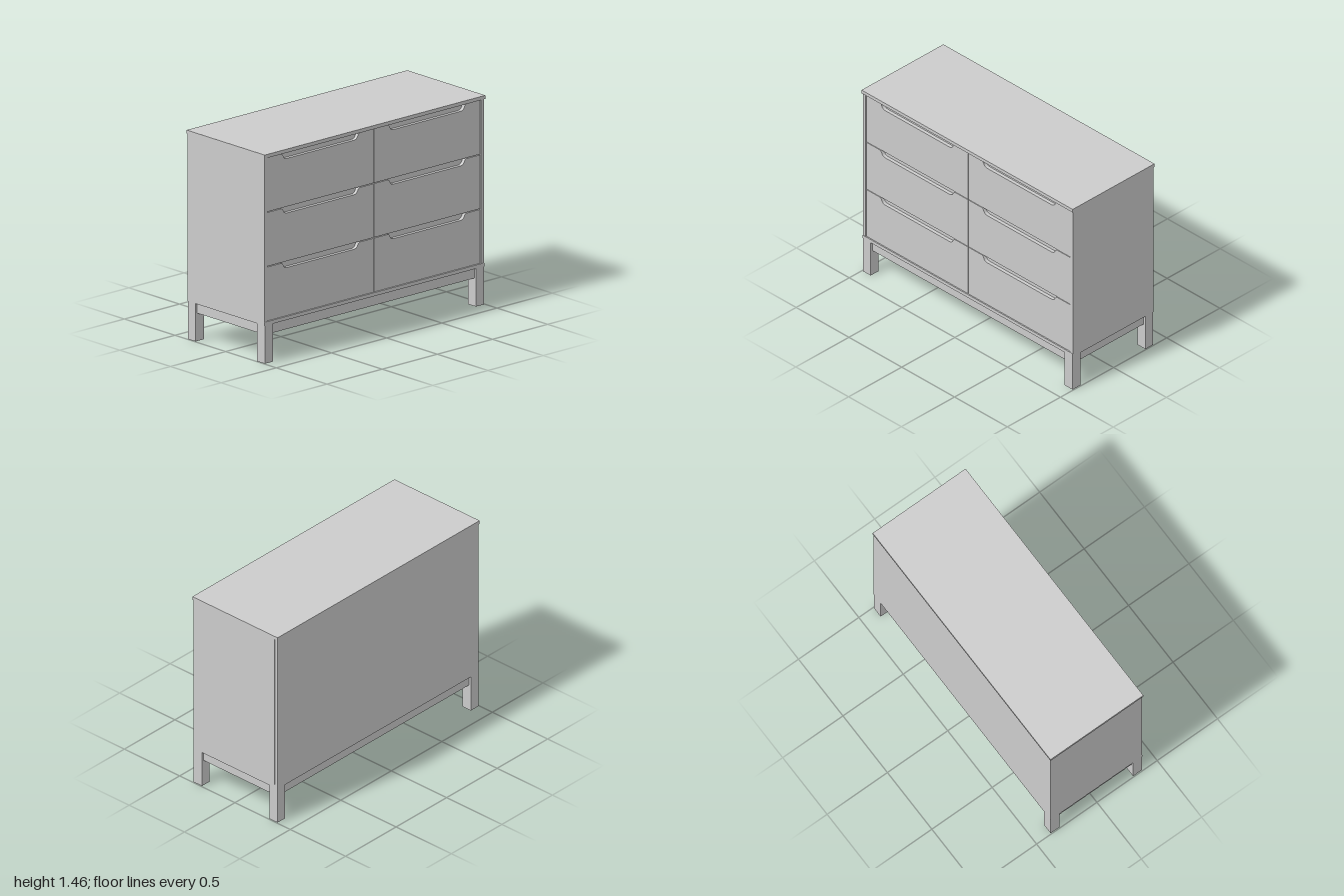
import * as THREE from 'three';

const material = new THREE.MeshStandardMaterial({ color: 0xcccccc });

// Box given by its min and max on each axis
function box(parent, name, [x0, x1], [y0, y1], [z0, z1]) {
  const mesh = new THREE.Mesh(new THREE.BoxGeometry(x1 - x0, y1 - y0, z1 - z0), material);
  mesh.position.set((x0 + x1) / 2, (y0 + y1) / 2, (z0 + z1) / 2);
  mesh.name = name;
  parent.add(mesh);
  return mesh;
}

// Drawer front centred on x = 0, base at y = 0, with a rounded finger notch in its top edge
function drawerFrontGeometry(width, height, depth) {
  const w = width / 2, n = 0.355, d = 0.04;
  const s = new THREE.Shape();
  s.moveTo(-w, 0);
  s.lineTo(w, 0);
  s.lineTo(w, height);
  s.lineTo(n, height);
  s.bezierCurveTo(n - 0.025, height - 0.005, n - 0.01, height - d, n - 0.055, height - d);
  s.lineTo(-n + 0.055, height - d);
  s.bezierCurveTo(-n + 0.01, height - d, -n + 0.025, height - 0.005, -n, height);
  s.lineTo(-w, height);
  s.closePath();
  return new THREE.ExtrudeGeometry(s, { depth, bevelEnabled: false, curveSegments: 10 });
}

export function createModel() {
  const model = new THREE.Group();
  model.name = 'chestOfDrawers';

  // Carcass
  box(model, 'top', [-1, 1], [1.435, 1.46], [-0.385, 0.385]);
  box(model, 'bottomPanel', [-0.995, 0.995], [0.265, 0.29], [-0.38, 0.38]);
  box(model, 'backPanel', [-0.995, 0.995], [0.29, 1.435], [-0.38, -0.356]);
  box(model, 'rightSide', [-0.995, -0.968], [0.29, 1.435], [-0.355, 0.378]);
  box(model, 'leftSide', [0.968, 0.995], [0.29, 1.435], [-0.355, 0.378]);

  // Six drawers in two columns and three rows
  const width = 0.96, height = 0.376, pitch = 0.381;
  const front = drawerFrontGeometry(width, height, 0.025);
  for (const x of [-0.483, 0.483]) {
    for (let row = 0; row < 3; row++) {
      const drawer = new THREE.Group();
      drawer.name = 'drawer';
      drawer.position.set(x, 0.292 + row * pitch, 0);
      const face = new THREE.Mesh(front, material);
      face.name = 'drawerFront';
      face.position.z = 0.348;
      drawer.add(face);
      box(drawer, 'drawerBody', [-width / 2, width / 2], [0, height], [-0.35, 0.346]);
      model.add(drawer);
    }
  }

  // Base: four legs joined by rails
  for (const s of [-1, 1]) {
    for (const t of [-1, 1]) {
      const leg = box(model, 'leg', [-0.0375, 0.0375], [0, 0.265], [-0.0375, 0.0375]);
      leg.position.x = s * 0.956;
      leg.position.z = t * 0.342;
    }
    const longRail = box(model, s > 0 ? 'frontRail' : 'backRail', [-0.92, 0.92], [0.195, 0.265], [-0.0225, 0.0225]);
    longRail.position.z = s * 0.342;
    const sideRail = box(model, s > 0 ? 'leftRail' : 'rightRail', [-0.0225, 0.0225], [0.195, 0.265], [-0.305, 0.305]);
    sideRail.position.x = s * 0.956;
  }
  return model;
}
